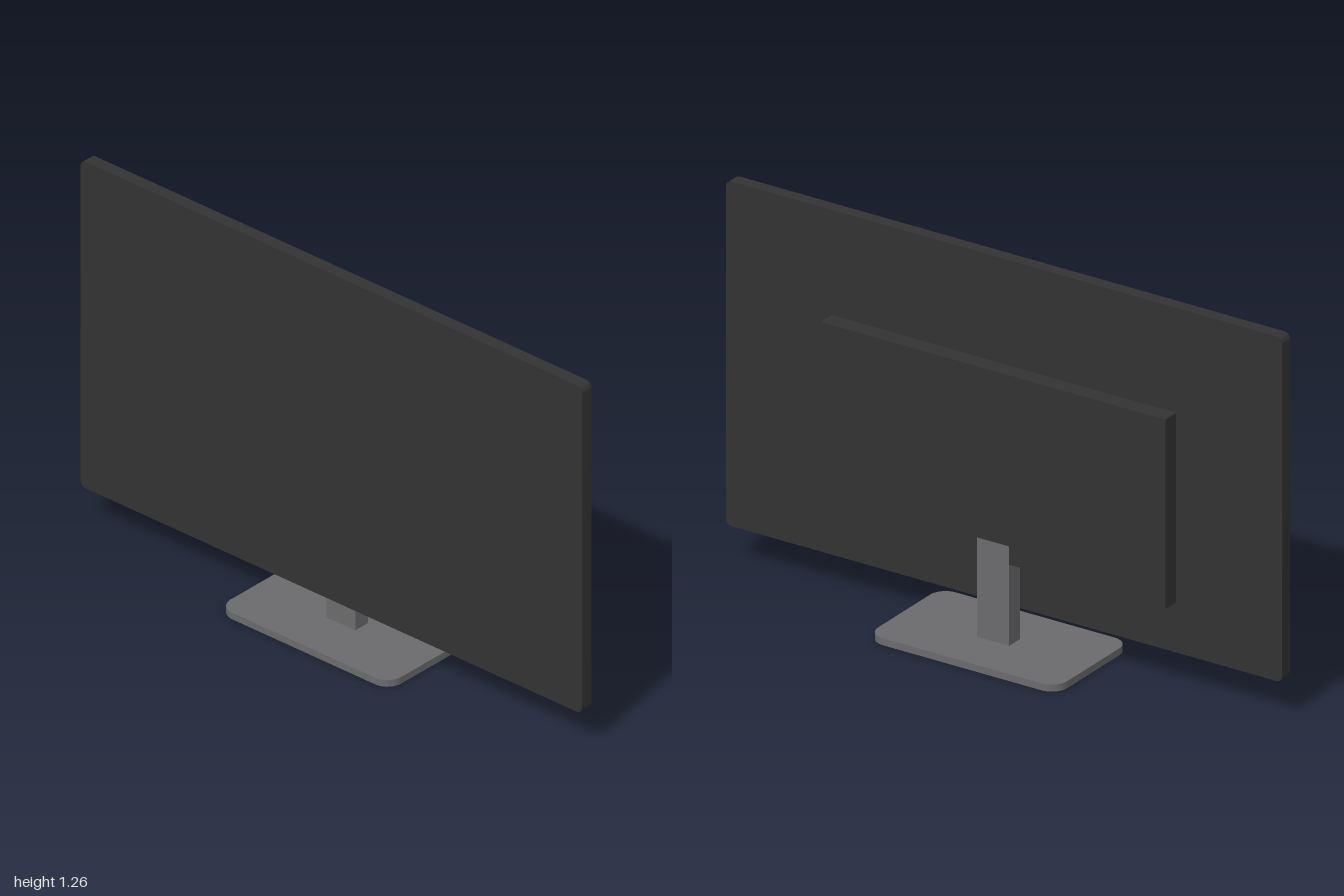
import * as THREE from 'three';
import { toCreasedNormals } from 'three/addons/utils/BufferGeometryUtils.js';

const charcoal = new THREE.MeshStandardMaterial({ name: 'charcoal plastic', color: 0x333333 });
const grey = new THREE.MeshStandardMaterial({ name: 'grey metal', color: 0x6b6b6d });

// Slab with rounded corners, centred, thickness along z
function roundedSlab(w, h, depth, r) {
  const x = w / 2, y = h / 2;
  const s = new THREE.Shape();
  s.moveTo(-x + r, -y);
  s.absarc(x - r, -y + r, r, -Math.PI / 2, 0);
  s.absarc(x - r, y - r, r, 0, Math.PI / 2);
  s.absarc(-x + r, y - r, r, Math.PI / 2, Math.PI);
  s.absarc(-x + r, -y + r, r, Math.PI, Math.PI * 1.5);
  const g = new THREE.ExtrudeGeometry(s, { depth, bevelEnabled: false, curveSegments: 8 });
  g.translate(0, 0, -depth / 2);
  return toCreasedNormals(g, 0.6);
}

export function createModel() {
  const group = new THREE.Group();
  group.name = 'monitor';

  const add = (name, geometry, material, x, y, z) => {
    const mesh = new THREE.Mesh(geometry, material);
    mesh.name = name;
    mesh.position.set(x, y, z);
    group.add(mesh);
    return mesh;
  };

  // Display panel with the thicker electronics housing behind it
  add('displayPanel', roundedSlab(2, 1.135, 0.043, 0.022), charcoal, 0, 0.6925, 0.05);
  add('rearHousing', new THREE.BoxGeometry(1.238, 0.624, 0.058), charcoal, 0, 0.602, 0);

  // Neck runs up into the housing, its back just proud of it
  add('standNeck', new THREE.BoxGeometry(0.115, 0.332, 0.058), grey, 0, 0.184, -0.001);

  // Flat foot with rounded corners
  const base = add('standBase', roundedSlab(0.68, 0.39, 0.023, 0.055), grey, 0, 0.0115, 0);
  base.rotation.x = -Math.PI / 2;

  return group;
}
